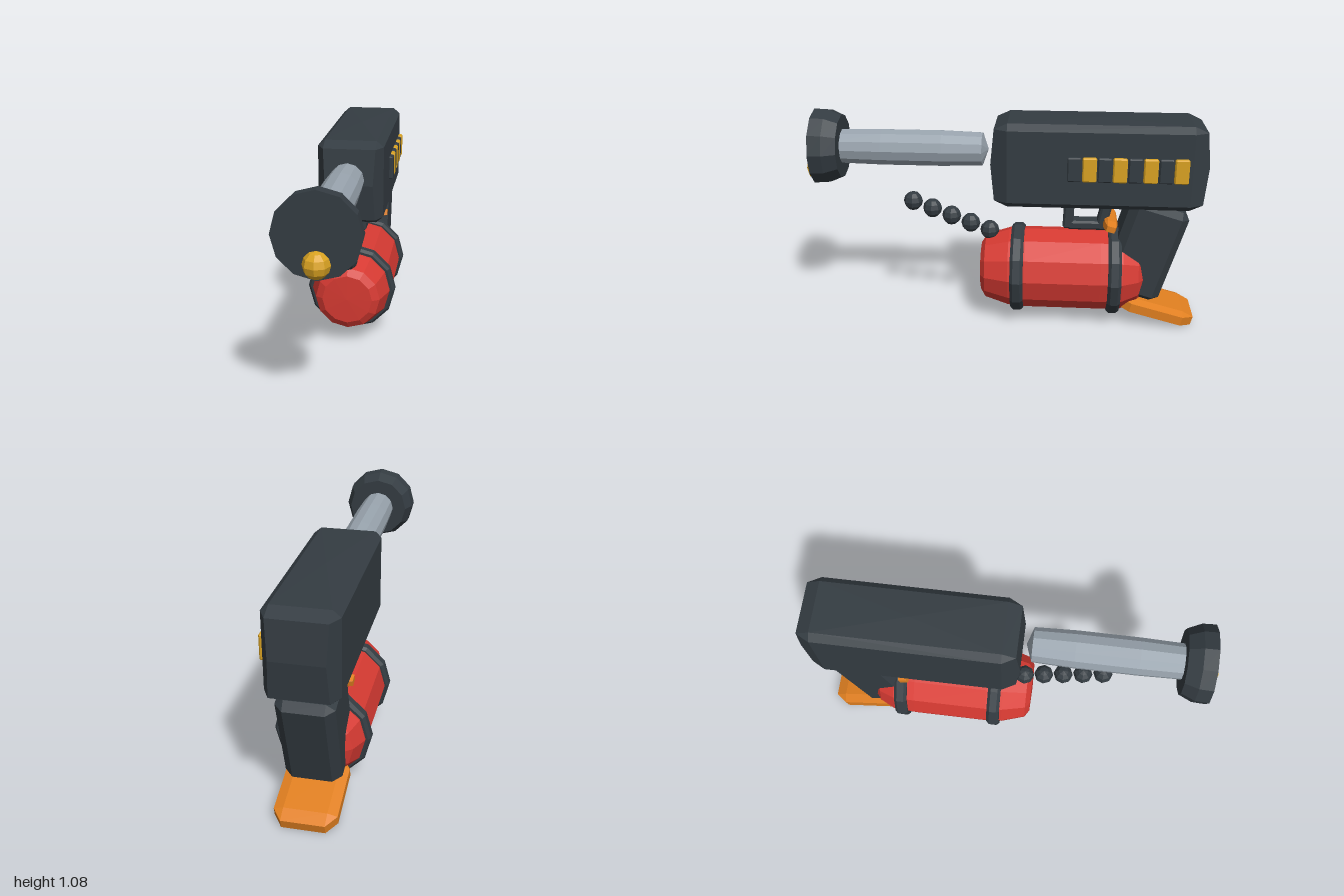
import * as THREE from 'three';
import { ConvexGeometry } from 'three/addons/geometries/ConvexGeometry.js';

const mat = (name, color) => {
  const m = new THREE.MeshStandardMaterial({ color });
  m.name = name;
  return m;
};

// Chamfered box: half sizes w, h, d with a separate chamfer per axis;
// extra points let a face swell slightly
function chamferBox([w, h, d], [bx, by, bz], extra = []) {
  const pts = extra.map((p) => new THREE.Vector3(...p));
  for (const sx of [-1, 1]) for (const sy of [-1, 1]) for (const sz of [-1, 1]) {
    pts.push(
      new THREE.Vector3(sx * w, sy * (h - by), sz * (d - bz)),
      new THREE.Vector3(sx * (w - bx), sy * h, sz * (d - bz)),
      new THREE.Vector3(sx * (w - bx), sy * (h - by), sz * d));
  }
  return new ConvexGeometry(pts);
}

// Split the vertices so every face is shaded flat
function facet(geometry) {
  const g = geometry.toNonIndexed();
  g.computeVertexNormals();
  return g;
}

// Twelve-sided turned part along z; profile is [radius, z] from back to front
function turned(profile) {
  const g = new THREE.LatheGeometry(profile.map(([r, z]) => new THREE.Vector2(r, z)), 12);
  return facet(g.rotateX(Math.PI / 2));
}

export function createModel() {
  const model = new THREE.Group();
  model.name = 'sprayGun';

  const dark = mat('charcoal', 0x343c42);
  const red = mat('red', 0xd63a32);
  const orange = mat('orange', 0xe07f20);
  const yellow = mat('gold', 0xdaa322);
  const grey = mat('steel', 0x98a3ad);

  const add = (name, geometry, material, y = 0, z = 0, tilt = 0, x = 0) => {
    const mesh = new THREE.Mesh(geometry, material);
    mesh.name = name;
    mesh.position.set(x, y, z);
    mesh.rotation.x = tilt;
    model.add(mesh);
    return mesh;
  };

  // Main housing, ends slightly swollen
  const swell = [];
  for (const sx of [-1, 1]) for (const sz of [-1, 1]) {
    swell.push([sx * 0.12, 0, sz * 0.525]);
  }
  swell.push([0, 0.215, 0], [0, -0.215, 0]);
  add('housing', chamferBox([0.165, 0.21, 0.507], [0.035, 0.03, 0.065], swell), dark, 0.867, -0.472);

  // Row of alternating plates on the left side
  for (let i = 0; i < 8; i++) {
    const gold = i % 2 === 1;
    add(gold ? 'goldPlate' : 'darkPlate',
      chamferBox([gold ? 0.016 : 0.014, 0.06, 0.034], [0.006, 0.006, 0.006]),
      gold ? yellow : dark, 0.868, -0.353 - i * 0.0725, 0, 0.17);
  }

  // Barrel, nozzle and pilot light
  add('barrel', turned([[0, 0.07], [0.084, 0.1], [0.091, 0.3], [0.091, 0.6], [0.085, 0.85]]), grey, 0.91);
  add('nozzle', turned([[0, 0.805], [0.158, 0.805], [0.187, 0.87], [0.19, 0.937], [0, 0.937]]), dark, 0.91);
  add('pilotLight', facet(new THREE.SphereGeometry(0.06, 8, 6)), yellow, 0.79, 0.94);

  // Fuel tank with two bands
  add('tank', turned([
    [0, -0.755], [0.095, -0.745], [0.165, -0.69], [0.205, -0.61], [0.21, -0.5],
    [0.21, -0.12], [0.203, -0.035], [0.165, 0.085], [0.128, 0.108], [0, 0.112],
  ]), red, 0.28);
  for (const z of [-0.08, -0.57]) {
    add('tankBand', turned([
      [0.195, -0.033], [0.217, -0.033], [0.23, -0.018], [0.23, 0.018], [0.217, 0.033], [0.195, 0.033],
    ]), dark, 0.28, z);
  }

  // Beaded hose rising from the tank
  for (let i = 0; i < 5; i++) {
    add('hoseBead', facet(new THREE.SphereGeometry(0.049, 8, 6)), dark, 0.479 + i * 0.037, 0.067 + i * 0.098);
  }

  // Grip and foot plate
  add('grip', chamferBox([0.132, 0.25, 0.15], [0.04, 0.03, 0.04]), dark, 0.423, -0.72, -0.288);
  add('footPlate', chamferBox([0.145, 0.038, 0.195], [0.045, 0.015, 0.06]), orange, 0.094, -0.79, -0.26);

  // Trigger guard and trigger
  const edge = [0.01, 0.01, 0.01];
  add('guardFront', chamferBox([0.042, 0.085, 0.026], edge), dark, 0.595, -0.335, -0.04);
  add('guardBottom', chamferBox([0.042, 0.023, 0.12], edge), dark, 0.529, -0.45);
  add('guardBack', chamferBox([0.042, 0.08, 0.026], edge), dark, 0.6, -0.517, -0.22);
  add('trigger', chamferBox([0.137, 0.027, 0.033], [0.05, 0.012, 0.012]), orange, 0.55, -0.543, -0.25);

  return model;
}
